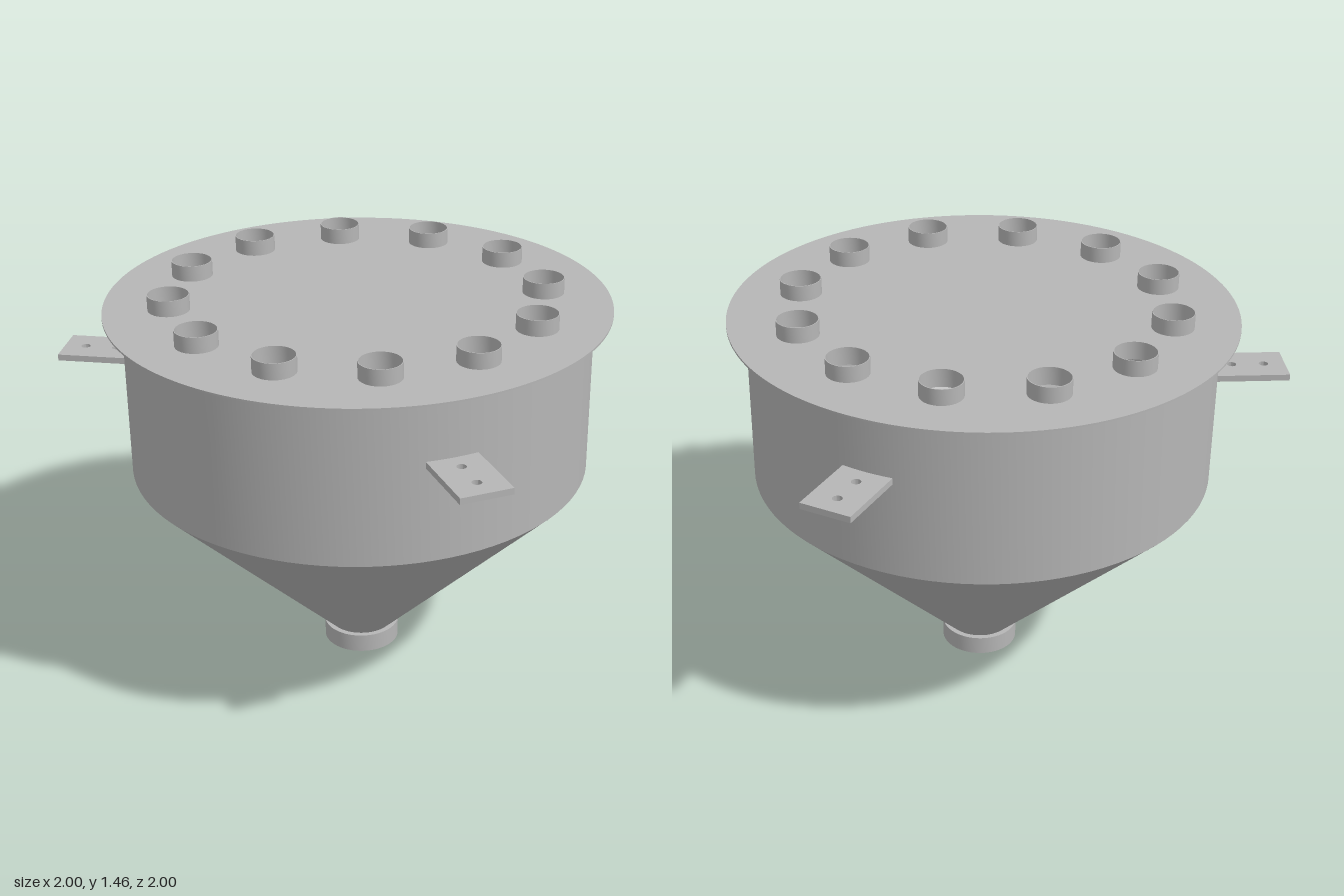
import * as THREE from 'three';
import { toCreasedNormals } from 'three/addons/utils/BufferGeometryUtils.js';

const steel = new THREE.MeshStandardMaterial({ color: 0xb6b6b6 });
steel.name = 'plain steel';

const LID_Y = 1.39;

function addMesh(parent, name, geometry) {
  const mesh = new THREE.Mesh(geometry, steel);
  mesh.name = name;
  parent.add(mesh);
  return mesh;
}

// Closed wall profile of [radius, y] pairs (outside upwards, inside downwards), turned about y
function turned(profile, segments = 96) {
  const points = [...profile, profile[0]].map(([r, y]) => new THREE.Vector2(r, y));
  return toCreasedNormals(new THREE.LatheGeometry(points, segments), 0.5);
}

// Straight open pipe
function pipe(outer, inner, y0, y1, segments) {
  return turned([[outer, y0], [outer, y1], [inner, y1], [inner, y0]], segments);
}

// Horizontal plate cut from a shape, from y0 upwards
function plate(shape, y0, thickness, curveSegments) {
  const geometry = new THREE.ExtrudeGeometry(shape, { depth: thickness, bevelEnabled: false, curveSegments });
  geometry.rotateX(-Math.PI / 2).translate(0, y0, 0);
  return toCreasedNormals(geometry, 0.5);
}

function circleHole(x, y, r) {
  return new THREE.Path().absarc(x, y, r, 0, Math.PI * 2, true);
}

export function createModel() {
  const model = new THREE.Group();
  model.name = 'hopper';

  // The vessel axis is offset because the brackets stick out unevenly
  const vessel = new THREE.Group();
  vessel.name = 'vessel';
  vessel.position.set(-0.093, 0, 0.09);
  model.add(vessel);

  // Hollow body
  addMesh(vessel, 'drum', pipe(0.84, 0.833, 0.79, LID_Y));
  addMesh(vessel, 'cone', turned([[0.122, 0.07], [0.84, 0.79], [0.832, 0.79], [0.114, 0.07]]));
  addMesh(vessel, 'outlet', pipe(0.142, 0.119, 0, 0.07, 64));

  // Lid with a ring of open inlet pipes
  const lid = new THREE.Shape().absarc(0, 0, 0.907, 0, Math.PI * 2);
  const inlet = pipe(0.075, 0.072, LID_Y, 1.455, 40);
  for (let i = 0; i < 12; i++) {
    const a = (i * Math.PI) / 6;
    const x = 0.672 * Math.cos(a);
    const z = 0.672 * Math.sin(a);
    lid.holes.push(circleHole(x, -z, 0.0735));
    addMesh(vessel, 'inletPipe', inlet).position.set(x, 0, z);
  }
  addMesh(vessel, 'lid', plate(lid, LID_Y, 0.007, 64));

  // Three mounting brackets, each with two bolt holes
  const tab = new THREE.Shape();
  tab.moveTo(0.833, -0.093);
  tab.lineTo(1.102, -0.093);
  tab.lineTo(1.102, 0.093);
  tab.lineTo(0.833, 0.093);
  tab.closePath();
  for (const r of [0.907, 1.024]) tab.holes.push(circleHole(r, 0, 0.017));
  const bracket = plate(tab, 1.139, 0.023, 16);
  for (const degrees of [15, 135, 255]) {
    addMesh(vessel, 'bracket', bracket).rotation.y = -THREE.MathUtils.degToRad(degrees);
  }

  return model;
}
